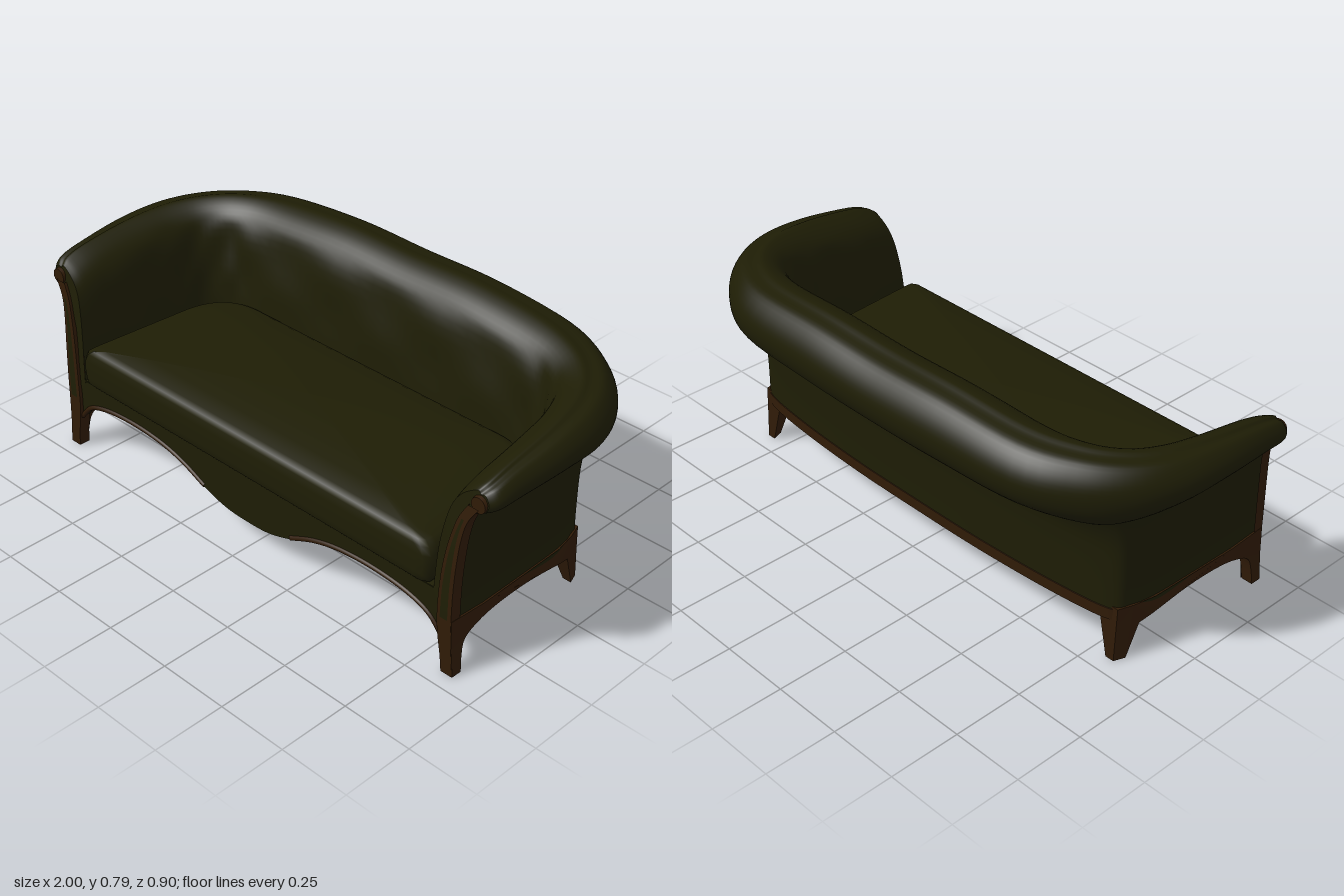
import * as THREE from 'three';
import { toCreasedNormals } from 'three/addons/utils/BufferGeometryUtils.js';

const V = (x, y, z) => new THREE.Vector3(x, y, z);
const V2 = (a) => new THREE.Vector2(a[0], a[1]);
const lerp = THREE.MathUtils.lerp;

// Surface through a grid of points, rows[i][j]
function gridSurface(rows) {
  const n = rows[0].length, idx = [];
  for (let i = 0; i < rows.length - 1; i++) for (let j = 0; j < n - 1; j++) {
    const a = i * n + j, b = a + n;
    idx.push(a, b, a + 1, b, b + 1, a + 1);
  }
  const g = new THREE.BufferGeometry().setFromPoints(rows.flat());
  g.setIndex(idx);
  g.computeVertexNormals();
  return g;
}

// Copy reflected in x, with the corner order restored
function mirrored(geo) {
  const g = geo.index ? geo.toNonIndexed() : geo.clone();
  for (const name of ['position', 'normal']) {
    const p = g.attributes[name];
    for (let i = 0; i < p.count; i += 3) {
      const t = [0, 1, 2].map((k) => [-p.getX(i + k), p.getY(i + k), p.getZ(i + k)]);
      [2, 1, 0].forEach((s, k) => p.setXYZ(i + k, ...t[s]));
    }
  }
  return g;
}

function moveVertices(g, rule) {
  const p = g.attributes.position, v = V();
  for (let i = 0; i < p.count; i++) {
    rule(v.fromBufferAttribute(p, i));
    p.setXYZ(i, v.x, v.y, v.z);
  }
  g.computeVertexNormals();
  return g;
}

// Lean of the arm fronts: z as a function of height
const frontZ = (y) => 0.435 - 0.03 * Math.pow(Math.max(0, y - 0.2) / 0.4, 2);

// Stations from arm front to middle of back:
// base x z, roll edge x z, crest x z, inner foot x z, crest height, underside of roll
const STATIONS = [
  [.87, .43, .957, .40, .91, .40, .795, .43, .66, .59],
  [.87, .37, .98, .365, .92, .36, .785, .36, .68, .587],
  [.87, .28, .988, .28, .92, .28, .78, .28, .70, .588],
  [.87, .10, 1.0, .10, .91, .10, .77, .10, .725, .59],
  [.866, -.05, .985, -.07, .88, -.05, .76, 0, .74, .575],
  [.85, -.13, .92, -.22, .82, -.16, .74, -.07, .75, .555],
  [.81, -.185, .80, -.34, .72, -.24, .68, -.12, .76, .54],
  [.60, -.215, .62, -.425, .56, -.29, .58, -.135, .77, .535],
  [.30, -.232, .30, -.45, .28, -.305, .30, -.145, .785, .535],
  [0, -.235, 0, -.455, 0, -.305, 0, -.15, .78, .535],
];

// Cross-section of arm or back: up the outside, round the roll, down the inside
function section([bx, bz, rx, rz, px, pz, ix, iz, top, low], s) {
  const h = top - low;
  const mix = (x0, z0, x1, z1, t, y) => V(lerp(x0, x1, t), y, lerp(z0, z1, t));
  const out = (t, y) => mix(bx, bz, rx, rz, t, y);
  const over = (t, y) => mix(rx, rz, px, pz, t, y);
  const inn = (t, y) => mix(px, pz, ix, iz, t, y);
  const pts = [
    out(0, .17), out(0, .3), out(.04, .42), out(.18, low - .04), out(.35, low), out(.58, low),
    out(.9, low + .22 * h), over(0, low + .48 * h), over(.1, low + .72 * h), over(.38, low + .92 * h),
    over(.72, top - .007), inn(0, top), inn(.4, top - .03), inn(.68, top - .07 - .1 * h),
    inn(.85, lerp(.42, top, .36)), inn(.95, .41), inn(1, .27),
  ];
  if (s === 0) pts.forEach((p) => { p.z = frontZ(p.y); });
  return pts;
}

export function createModel() {
  const model = new THREE.Group();
  const fabric = new THREE.MeshStandardMaterial({ name: 'olive fabric', color: 0x1e1d05, side: THREE.DoubleSide });
  const wood = new THREE.MeshStandardMaterial({ name: 'brown wood', color: 0x301b07, side: THREE.DoubleSide });
  const add = (name, geo, mat) => {
    const m = new THREE.Mesh(geo, mat);
    m.name = name;
    model.add(m);
  };
  const addPair = (name, geo, mat) => {
    add(name + 'Left', geo, mat);
    add(name + 'Right', mirrored(geo), mat);
  };

  // Upholstered shell: both arms and back as one sweep
  const half = STATIONS.map(section);
  const full = [...half, ...half.slice(0, -1).reverse().map((s) => s.map((p) => V(-p.x, p.y, p.z)))];
  const lanes = half[0].map((_, j) => new THREE.CatmullRomCurve3(full.map((s) => s[j]), false, 'catmullrom', 0.5));
  const NU = 90, NV = 64, shell = [];
  for (let i = 0; i <= NU; i++) {
    const c = new THREE.CatmullRomCurve3(lanes.map((l) => l.getPoint(i / NU)), false, 'catmullrom', 0.5);
    const row = c.getPoints(NV);
    // shallow tufting on the inner face
    row.forEach((p, j) => {
      const v = (j / NV - 0.76) / 0.2, u = i / NU;
      if (v > 0 && v < 1 && u > 0.12 && u < 0.88) {
        const d = 0.006 * Math.sin(v * Math.PI) * Math.cos((u - 0.5) * 75) * Math.cos(v * 9);
        p.z += d;
        p.x -= d * Math.sign(p.x) * 0.5;
      }
    });
    shell.push(row);
  }
  add('armsAndBack', gridSurface(shell), fabric);

  // Arm fronts
  const cap = new THREE.ShapeGeometry(new THREE.Shape(shell[0].map((p) => new THREE.Vector2(p.x, p.y))));
  addPair('armFront', moveVertices(cap, (p) => { p.z = frontZ(p.y); }), fabric);

  // Carved front posts running from foot to scroll: [y, inner x, outer x]
  const POST = [[0, .842, .886], [.06, .836, .881], [.13, .825, .876], [.2, .82, .875], [.32, .824, .876],
    [.42, .834, .88], [.5, .849, .887], [.56, .866, .901], [.61, .893, .932]];
  const postRows = (rows, inset, depth) => {
    const inner = new THREE.SplineCurve(rows.map(([y, a]) => V2([a + inset, y]))).getPoints(28);
    const outer = new THREE.SplineCurve(rows.map(([y, , b]) => V2([b - inset, y]))).getPoints(28);
    return inner.map((a, i) => {
      const b = outer[i], za = frontZ(a.y) + 0.01, zb = frontZ(b.y) + 0.01;
      return [V(b.x, b.y, zb - depth), V(b.x, b.y, zb), V(a.x, a.y, za), V(a.x, a.y, za - depth)];
    });
  };
  addPair('frontPost', toCreasedNormals(gridSurface(postRows(POST, 0, 0.04)), 0.7), wood);
  const inlay = gridSurface(postRows(POST.slice(3, 8), 0.013, 0).map((r) => r.slice(1, 3).map((p) => p.setZ(p.z + 0.002))));
  addPair('postInlay', inlay, fabric);
  const scroll = new THREE.CylinderGeometry(0.026, 0.029, 0.02, 20).rotateX(Math.PI / 2).translate(0.926, 0.622, 0.4);
  addPair('armScroll', scroll, wood);

  // Side rails with front and rear legs, drawn in z and y
  const arch = new THREE.SplineCurve([[-.108, .12], [-.06, .133], [0, .145], [.12, .155], [.25, .15],
    [.34, .13], [.385, .105], [.4, .06], [.406, 0]].map(V2)).getPoints(28);
  const side = new THREE.Shape([[.444, 0], [.444, .1], [.444, .2], [.3, .19], [.1, .194], [-.05, .195], [-.13, .195],
    [-.182, .195], [-.184, .13], [-.189, 0], [-.15, 0]].map(V2).concat(arch));
  const sideGeo = new THREE.ExtrudeGeometry(side, { depth: 0.042, bevelEnabled: false });
  addPair('sideRailAndLegs', moveVertices(sideGeo, (p) => {
    const [z, y, d] = [p.x, p.y, p.z];
    const low = Math.max(0, 0.14 - y) / 0.14;
    let x = 0.834 + d;
    if (z < 0) x -= 0.035 * Math.pow(-z / 0.18, 2); // rear corner turns inward
    if (z > 0.3) x += 0.011 * low;
    if (z < -0.1) x += d > 0 ? 0.002 * low : lerp(-0.025, 0.012, low); // rear legs taper to the foot
    p.set(x, y, z);
  }), wood);

  // Rear rail below the back, lined with fabric inside
  const base = lanes[0].getPoints(90);
  const rear = base.filter((p) => p.z < -0.14);
  const strip = (pts) => toCreasedNormals(gridSurface(rear.map((p) => pts.map(([d, y]) => V(p.x, y, p.z - d)))), 0.7);
  add('rearRail', strip([[-0.016, .146], [0.003, .146], [0.003, .186], [-0.01, .188]]), wood);
  add('rearRailLining', strip([[-0.017, .2], [-0.017, .146]]), fabric);

  // Underside and seat deck
  const plan = new THREE.Shape(base.map((p) => new THREE.Vector2(p.x * 0.985, -Math.min(p.z + 0.012, 0.41))));
  add('underside', new THREE.ShapeGeometry(plan).rotateX(-Math.PI / 2).translate(0, 0.19, 0), wood);
  const deck = new THREE.ShapeGeometry(new THREE.Shape(
    lanes[lanes.length - 1].getPoints(60).map((p) => new THREE.Vector2(p.x, -p.z))));
  add('seatDeck', deck.rotateX(-Math.PI / 2).translate(0, 0.278, 0), fabric);

  // Serpentine front apron
  const WAVE = [[0, .1], [.1, .106], [.2, .135], [.3, .178], [.4, .203], [.55, .213], [.7, .198], [.78, .168], [.83, .115]];
  const wave = new THREE.SplineCurve([...WAVE.slice(1).reverse().map(([x, y]) => V2([-x, y])), ...WAVE.map(V2)]);
  const apron = wave.getPoints(96).map(({ x, y }) =>
    [V(x, .28, .403), V(x, y, .403), V(x, y, .433), V(x, .28, .433), V(x, .28, .403)]);
  add('frontApron', toCreasedNormals(gridSurface(apron), 0.7), fabric);

  // Wooden moulding along the apron edge
  const edge = new THREE.CatmullRomCurve3(WAVE.slice(2).map(([x, y]) => V(x, y + 0.006, 0.431)));
  addPair('apronMoulding', new THREE.TubeGeometry(edge, 40, 0.009, 8), wood);

  // Seat cushion: rings of the plan outline rising to a soft crown
  const outline = new THREE.Shape();
  outline.moveTo(-.765, .447);
  outline.lineTo(.765, .447);
  outline.quadraticCurveTo(.785, .447, .785, .42);
  outline.lineTo(.755, .02);
  outline.quadraticCurveTo(.735, -.14, .58, -.148);
  outline.lineTo(-.58, -.148);
  outline.quadraticCurveTo(-.735, -.14, -.755, .02);
  outline.lineTo(-.785, .42);
  outline.quadraticCurveTo(-.785, .447, -.765, .447);
  const RINGS = [[.278, .965], [.288, .993], [.31, 1], [.345, 1.004], [.38, 1], [.405, .985], [.42, .96], [.43, .9],
    [.44, .7], [.449, .4], [.453, 0]];
  add('seatCushion', gridSurface(outline.getSpacedPoints(140).map((q) =>
    RINGS.map(([y, s]) => V(q.x * s, y, 0.15 + (q.y - 0.15) * s)))), fabric);

  return model;
}
